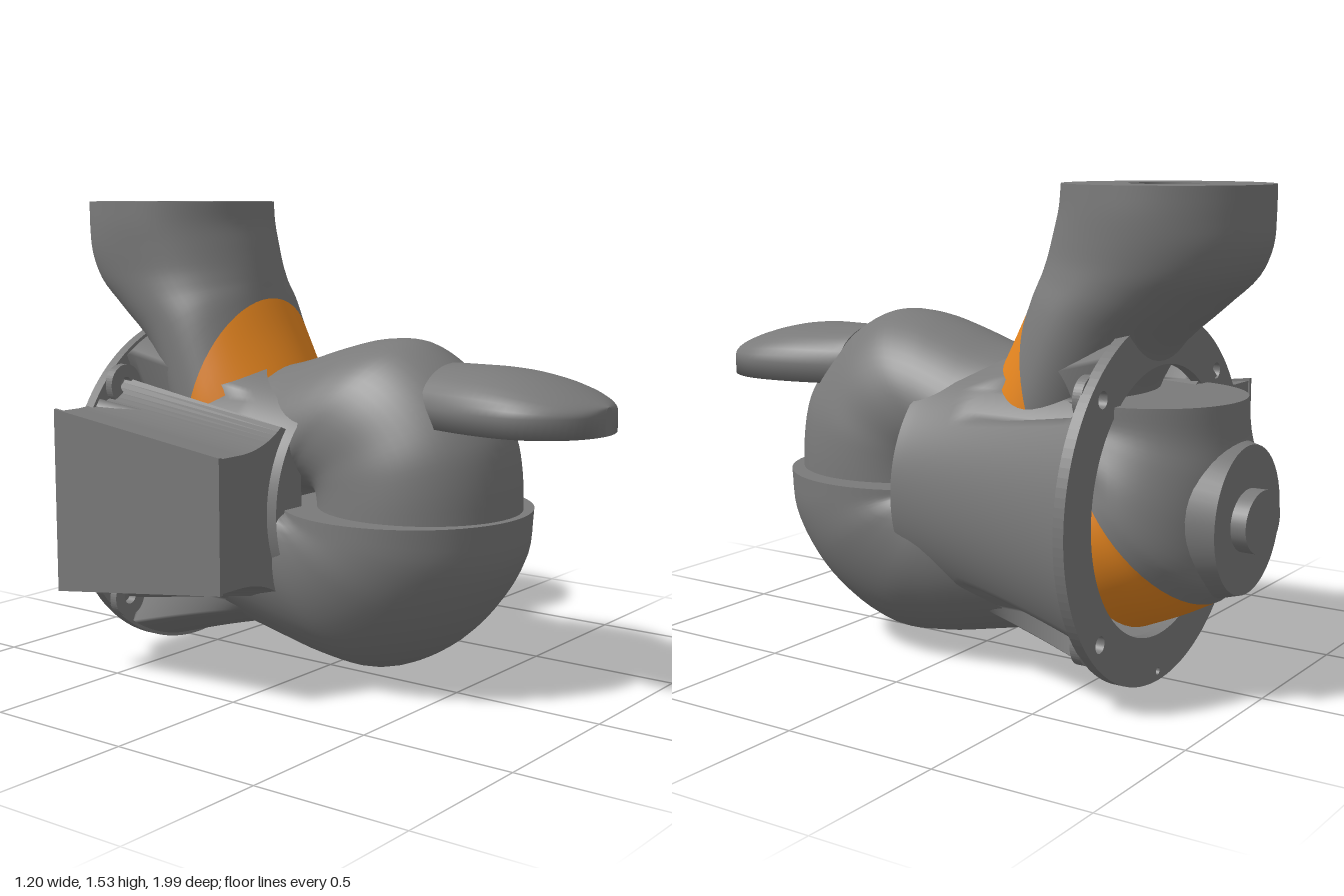
import * as THREE from 'three';

const CX = 0.03, CY = 0.57; // axis of the round housing
const grey = new THREE.MeshStandardMaterial({ color: 0x7a7a7a, side: THREE.DoubleSide });
grey.name = 'grey casting';
const orange = new THREE.MeshStandardMaterial({ color: 0xe5851f, side: THREE.DoubleSide });
orange.name = 'orange band';

// Skin a list of closed rings of points, optionally closing either end
function skin(rings, capStart, capEnd) {
  const pos = [], index = [], n = rings[0].length;
  rings.forEach(r => r.forEach(p => pos.push(p.x, p.y, p.z)));
  for (let i = 0; i < rings.length - 1; i++) {
    for (let j = 0; j < n; j++) {
      const a = i * n + j, b = i * n + (j + 1) % n;
      index.push(a, b, a + n, b, b + n, a + n);
    }
  }
  const cap = (ring, flip) => {
    const start = pos.length / 3, c = new THREE.Vector3();
    ring.forEach(p => { c.addScaledVector(p, 1 / n); pos.push(p.x, p.y, p.z); });
    pos.push(c.x, c.y, c.z);
    for (let j = 0; j < n; j++) {
      const a = start + j, b = start + (j + 1) % n;
      index.push(...(flip ? [b, a, start + n] : [a, b, start + n]));
    }
  };
  if (capStart) cap(rings[0], true);
  if (capEnd) cap(rings[rings.length - 1], false);
  const g = new THREE.BufferGeometry();
  g.setAttribute('position', new THREE.Float32BufferAttribute(pos, 3));
  g.setIndex(index);
  g.computeVertexNormals();
  return g;
}

// Bent tube: each section is [outerY, outerZ, innerY, innerZ, halfWidth]
function bend(sections, capStart, capEnd) {
  const spline = f => new THREE.CatmullRomCurve3(sections.map(f));
  const outer = spline(s => new THREE.Vector3(s[4], s[0], s[1]));
  const inner = spline(s => new THREE.Vector3(s[4], s[2], s[3]));
  const steps = (sections.length - 1) * 4, rings = [];
  for (let i = 0; i <= steps; i++) {
    const o = outer.getPoint(i / steps), n = inner.getPoint(i / steps), ring = [];
    for (let j = 0; j < 56; j++) {
      const a = j / 56 * Math.PI * 2, c = Math.cos(a) / 2;
      ring.push(new THREE.Vector3(CX + o.x * Math.sin(a),
        (o.y + n.y) / 2 + (o.y - n.y) * c, (o.z + n.z) / 2 + (o.z - n.z) * c));
    }
    rings.push(ring);
  }
  return skin(rings, capStart, capEnd);
}

export function createModel() {
  const model = new THREE.Group();
  const add = (name, geometry, material = grey, x = 0, y = 0, z = 0) => {
    const m = new THREE.Mesh(geometry, material);
    m.name = name;
    m.position.set(x, y, z);
    model.add(m);
    return m;
  };

  // Lower bowl, sweeping back into the housing
  add('bowl', bend([
    [0.575, 0.69, 0.575, -0.12, 0.4], [0.42, 0.67, 0.6, -0.12, 0.4],
    [0.25, 0.57, 0.65, -0.13, 0.4], [0.12, 0.43, 0.72, -0.14, 0.39],
    [0.04, 0.25, 0.8, -0.15, 0.38], [0.045, 0.08, 0.88, -0.18, 0.38],
    [0.08, -0.1, 0.92, -0.24, 0.38], [0.12, -0.28, 0.95, -0.3, 0.38]], true, true));

  // Upper elbow rising from the bowl and bending back
  add('frontElbow', bend([
    [0.55, 0.665, 0.55, 0, 0.317], [0.7, 0.66, 0.57, 0, 0.315],
    [0.82, 0.635, 0.6, -0.01, 0.31], [0.94, 0.56, 0.6, -0.03, 0.3],
    [1.04, 0.45, 0.59, -0.06, 0.295], [1.1, 0.33, 0.56, -0.09, 0.29],
    [1.1, 0.2, 0.5, -0.12, 0.29], [1.065, 0.06, 0.46, -0.15, 0.29],
    [1.02, -0.08, 0.42, -0.18, 0.29], [0.99, -0.2, 0.4, -0.22, 0.29]], false, true));

  // Flat-bottomed domed tongue at the front
  const tongue = [];
  for (let i = 0; i <= 24; i++) {
    const z = 0.45 + 0.54 * Math.sin(i / 24 * Math.PI / 2);
    const w = z < 0.75 ? 0.18 + 0.06 * Math.sin((z - 0.45) / 0.3 * Math.PI / 2)
      : Math.sqrt(Math.max(0.0004, 0.0576 - (z - 0.75) ** 2));
    const top = 1.04 - 0.1 * (Math.max(0, z - 0.6) / 0.4) ** 2;
    const ring = [new THREE.Vector3(CX + w, 0.86, z)];
    for (let j = 0; j <= 16; j++) {
      const a = j / 16 * Math.PI;
      ring.push(new THREE.Vector3(CX + w * Math.cos(a), 0.92 + (top - 0.92) * Math.sin(a), z));
    }
    ring.push(new THREE.Vector3(CX - w, 0.86, z));
    tongue.push(ring);
  }
  add('tongue', skin(tongue, true, true));

  // Flared housing with four screw pockets and a trimmed front edge
  const shell = [];
  for (let i = 0; i <= 32; i++) {
    const ring = [];
    for (let j = 0; j < 144; j++) {
      const a = j / 144 * Math.PI * 2;
      const front = 0.07 - Math.min(0.28, Math.max(0, Math.abs(Math.sin(a)) - 0.7));
      const z = -0.66 + (front + 0.66) * i / 32;
      let r = 0.4 + 0.17 * Math.pow((0.07 - z) / 0.73, 1.4);
      const off = Math.abs(((a % (Math.PI / 2)) - Math.PI / 4));
      if (off < 0.17 && z > -0.63) r = Math.min(r, 0.43);
      ring.push(new THREE.Vector3(CX + r * Math.cos(a), CY + r * Math.sin(a), z));
    }
    shell.push(ring);
  }
  add('housing', skin(shell));

  // Rear flange with screw holes
  const disc = (r, holes) => {
    const s = new THREE.Shape().absarc(0, 0, r, 0, Math.PI * 2);
    holes.forEach(([x, y, h]) => s.holes.push(new THREE.Path().absarc(x, y, h, 0, Math.PI * 2, true)));
    return s;
  };
  const screws = [[1, 1], [1, -1], [-1, 1], [-1, -1]].map(([x, y]) => [x * 0.36, y * 0.36]);
  add('flange', new THREE.ExtrudeGeometry(
    disc(0.57, [[0, 0, 0.42], [0, -0.54, 0.012], ...screws.map(s => [...s, 0.026])]),
    { depth: 0.035, bevelEnabled: false, curveSegments: 64 }), grey, CX, CY, -0.662);
  const washer = new THREE.ExtrudeGeometry(disc(0.068, [[0, 0, 0.026]]),
    { depth: 0.03, bevelEnabled: false, curveSegments: 24 });
  screws.forEach(([x, y]) => add('screwSeat', washer, grey, CX + x, CY + y, -0.63));

  // Side block, lower towards the front, flaring into the housing
  const taper = g => {
    const p = g.attributes.position;
    for (let i = 0; i < p.count; i++) {
      p.setY(i, CY + (p.getY(i) - CY) * (1 - 0.3 * (p.getZ(i) + 0.66) / 0.7));
    }
    g.computeVertexNormals();
    return g;
  };
  const block = new THREE.Shape();
  block.moveTo(-0.588, 0.865);
  block.lineTo(-0.49, 0.865);
  block.quadraticCurveTo(-0.38, 0.87, -0.3, 0.955);
  block.lineTo(-0.2, 0.9);
  block.lineTo(-0.2, 0.25);
  block.lineTo(-0.3, 0.19);
  block.quadraticCurveTo(-0.38, 0.275, -0.49, 0.28);
  block.lineTo(-0.588, 0.28);
  const blockGeo = new THREE.ExtrudeGeometry(block, { depth: 0.69, bevelEnabled: false, curveSegments: 10 });
  blockGeo.translate(0, 0, -0.655);
  add('sideBlock', taper(blockGeo));
  const plate = new THREE.BoxGeometry(0.013, 0.6, 0.7);
  plate.translate(-0.594, CY + 0.003, -0.31);
  add('sideCover', taper(plate));

  // Rising tube with an orange band at its root
  const root = [1.21, -0.275, 0.53, -0.46, 0.31];
  add('upperTube', bend([
    [1.53, -0.35, 1.53, -0.985, 0.317], [1.46, -0.343, 1.44, -0.985, 0.317],
    [1.39, -0.323, 1.35, -0.98, 0.312], [1.32, -0.303, 1.26, -0.94, 0.305],
    [1.27, -0.29, 1.16, -0.83, 0.302], [1.24, -0.283, 1.0, -0.66, 0.302], root]));
  add('upperBand', bend([root, [1.105, -0.222, 0.515, -0.45, 0.308],
    [0.99, -0.16, 0.5, -0.44, 0.3]]), orange);

  // Rim and shallow socket on top of the tube
  const rim = new THREE.LatheGeometry([[0.317, 0], [0.12, 0], [0.12, 0], [0.12, -0.04], [0.12, -0.04], [0, -0.04]]
    .map(p => new THREE.Vector2(...p)), 56);
  add('tubeRim', rim, grey, CX, 1.53, -0.6675);

  // Rear bulb with an orange band below and an open-looking neck above
  const seam = [0.29, -0.87, 0.85, -0.45, 0.37];
  add('rearBulb', bend([seam, [0.36, -0.935, 0.86, -0.43, 0.365],
    [0.52, -0.95, 0.87, -0.4, 0.35], [0.68, -0.945, 0.88, -0.36, 0.32],
    [0.79, -0.925, 0.89, -0.33, 0.3], [0.9, -0.915, 0.9, -0.31, 0.3]], false, true));
  add('rearBand', bend([seam, [0.235, -0.765, 0.85, -0.45, 0.375],
    [0.18, -0.64, 0.85, -0.45, 0.37]]), orange);

  // Rear face and its flattened boss
  const face = add('rearFace', new THREE.CylinderGeometry(0.225, 0.27, 0.16, 48), grey, CX, 0.55, -0.872);
  face.rotation.x = -Math.PI / 2;
  const boss = add('rearBoss', new THREE.CylinderGeometry(0.12, 0.12, 0.06, 40), grey, CX, 0.55, -0.97);
  boss.rotation.x = -Math.PI / 2;
  boss.scale.z = 0.79;

  return model;
}
